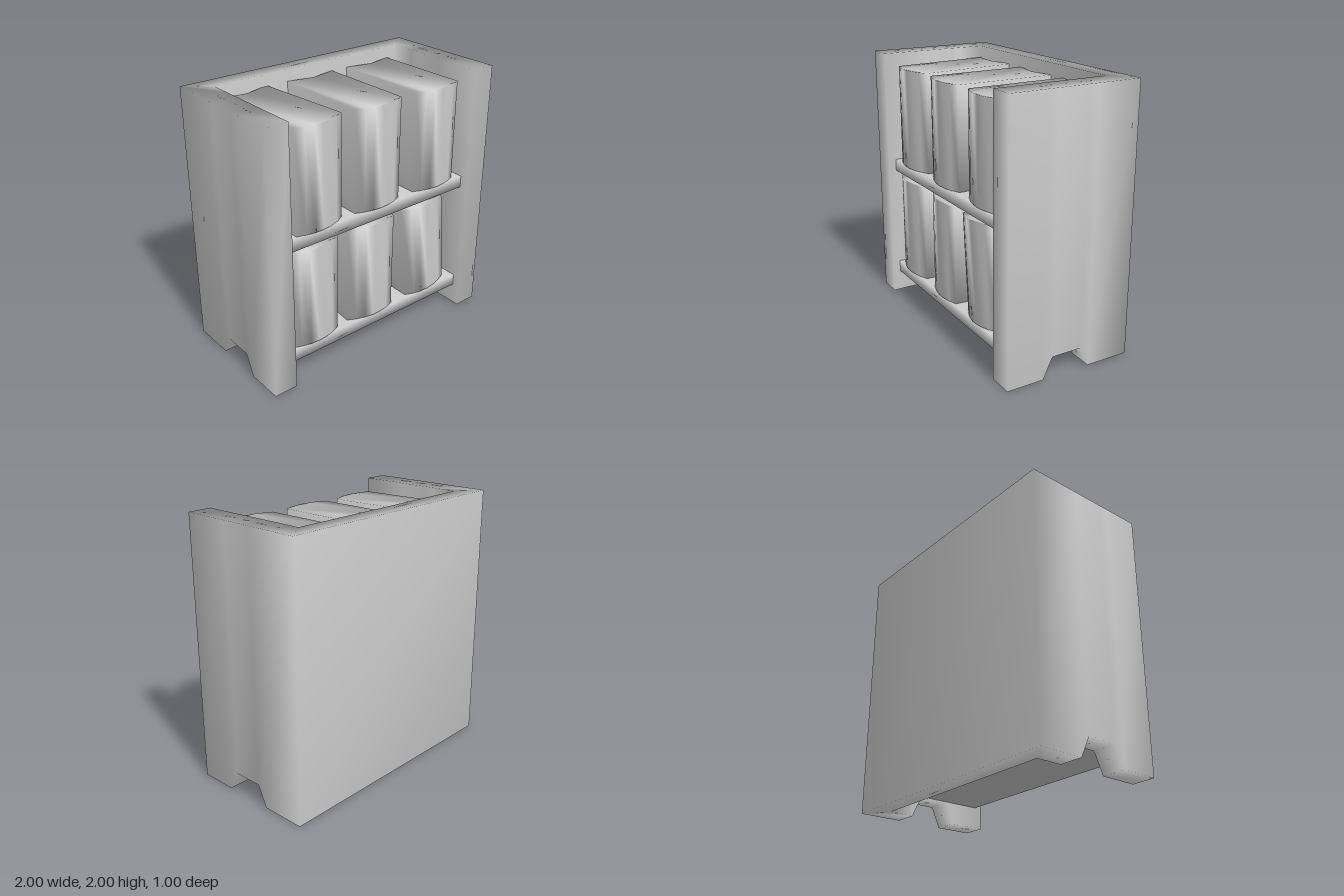
import * as THREE from 'three';
import { mergeVertices } from 'three/addons/utils/BufferGeometryUtils.js';

const material = new THREE.MeshStandardMaterial({ color: 0xcccccc });

// Share corner vertices so the shading runs softly over every edge
function soften(geometry) {
  geometry.deleteAttribute('uv');
  geometry.deleteAttribute('normal');
  const g = mergeVertices(geometry, 1e-4);
  g.computeVertexNormals();
  return g;
}

function addMesh(parent, name, geometry) {
  const mesh = new THREE.Mesh(geometry, material);
  mesh.name = name;
  parent.add(mesh);
  return mesh;
}

// U-shaped case: a wall section swept along side, back and side, lifted at the foot notches
function caseGeometry() {
  const inner = 0.817, height = 2;
  // z outside, z inside, bottom y
  const side = [
    [0.5, 0.5, 0], [0.215, 0.215, 0], [0.14, 0.14, 0.155],
    [-0.09, -0.09, 0.155], [-0.165, -0.165, 0], [-0.5, -0.36, 0],
  ];
  const stations = [
    ...side.map((s) => [1, ...s]),
    ...side.slice().reverse().map((s) => [-1, ...s]),
  ];
  const positions = [], index = [];
  for (const [sx, zo, zi, y] of stations) {
    positions.push(sx, y, zo, sx, height, zo, sx * inner, height, zi, sx * inner, y, zi);
  }
  const last = stations.length - 1;
  for (let i = 0; i < last; i++) {
    for (let j = 0; j < 4; j++) {
      const k = (j + 1) % 4;
      const a = i * 4 + j, b = a + 4, c = i * 4 + 4 + k, d = i * 4 + k;
      index.push(a, b, c, a, c, d);
    }
  }
  const e = last * 4;
  index.push(0, 1, 2, 0, 2, 3, e, e + 2, e + 1, e, e + 3, e + 2);
  const g = new THREE.BufferGeometry();
  g.setAttribute('position', new THREE.Float32BufferAttribute(positions, 3));
  g.setIndex(index);
  g.computeVertexNormals();
  return g;
}

// Thick book: rounded spine at the front, hollowed page edge at the back
const BOOK_HEIGHT = 0.765;
function bookGeometry() {
  const w = 0.205, back = -0.385, front = 0.38;
  const shape = new THREE.Shape();
  shape.moveTo(-w, back);
  shape.lineTo(0, back + 0.04);
  shape.lineTo(w, back);
  const steps = 6;
  for (let i = 0; i <= steps; i++) {
    const t = 1 - (2 * i) / steps;
    shape.lineTo(w * t, front + 0.05 * (1 - t * t));
  }
  shape.closePath();
  const g = new THREE.ExtrudeGeometry(shape, { depth: BOOK_HEIGHT, bevelEnabled: false });
  g.rotateX(Math.PI / 2);
  g.translate(0, BOOK_HEIGHT / 2, 0);
  return soften(g);
}

export function createModel() {
  const group = new THREE.Group();
  group.name = 'bookcase';

  addMesh(group, 'case', caseGeometry());

  // Shelf boards
  const shelf = soften(new THREE.BoxGeometry(1.634, 0.092, 0.8));
  [['lowerShelf', 0.212], ['upperShelf', 1.1]].forEach(([name, y]) => {
    addMesh(group, name, shelf).position.set(0, y, 0.04);
  });

  // Books: x, y, turn about the vertical, lean to the side
  const book = bookGeometry();
  const upper = 1.146 + BOOK_HEIGHT / 2, lower = 0.259 + BOOK_HEIGHT / 2;
  const books = [
    [-0.555, upper, 0.085, 0], [-0.01, upper, 0, 0], [0.54, upper, 0, 0],
    [-0.575, lower, 0, 0], [-0.03, lower, -0.085, 0], [0.476, 0.647, 0, 0.087],
  ];
  books.forEach(([x, y, turn, lean], i) => {
    const mesh = addMesh(group, `book${i + 1}`, book);
    mesh.position.set(x, y, 0.025);
    mesh.rotation.set(0, turn, lean);
  });

  return group;
}
